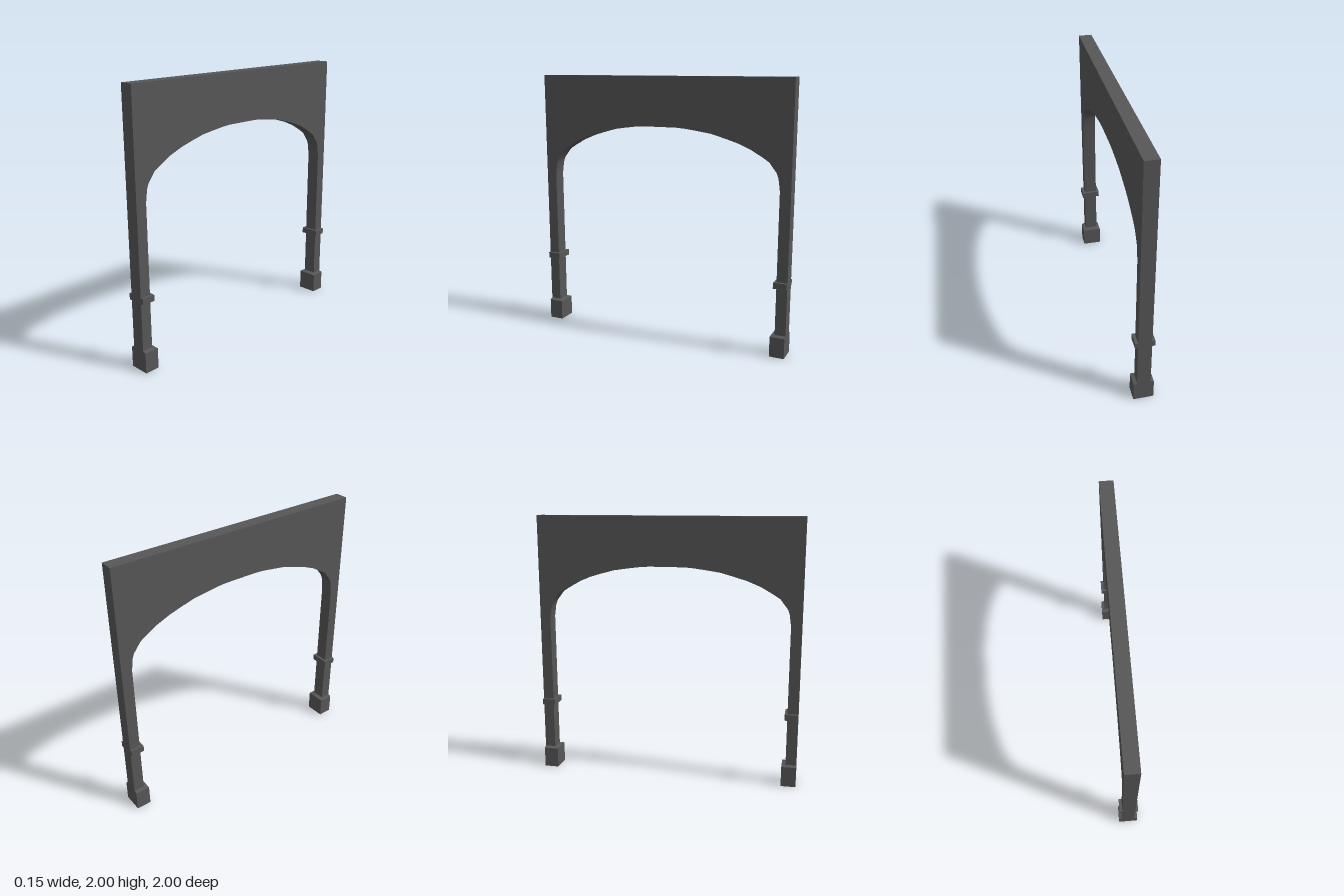
import * as THREE from 'three';
import { toCreasedNormals } from 'three/addons/utils/BufferGeometryUtils.js';

const material = new THREE.MeshStandardMaterial({ color: 0x575757 });

function addPart(parent, name, geometry) {
  const mesh = new THREE.Mesh(toCreasedNormals(geometry, 0.6), material);
  mesh.name = name;
  parent.add(mesh);
  return mesh;
}

// Flat arched wall with its two legs, extruded across the thickness
function archGeometry() {
  // Half of the opening, from the springing of the arch to its crown
  const half = [
    [0.92, 1.22], [0.907, 1.31], [0.894, 1.345], [0.838, 1.418], [0.79, 1.449],
    [0.70, 1.50], [0.60, 1.541], [0.50, 1.571], [0.40, 1.598], [0.30, 1.613],
    [0.20, 1.626], [0.13, 1.631],
  ];
  const outline = [
    [1, 2], [-1, 2], [-1, 0], [-0.92, 0],
    ...half.map(([z, y]) => [-z, y]), ...half.reverse(),
    [0.92, 0], [1, 0],
  ];
  const shape = new THREE.Shape(outline.map(([z, y]) => new THREE.Vector2(z, y)));
  const geometry = new THREE.ExtrudeGeometry(shape, { depth: 0.1, bevelEnabled: false });
  return geometry.translate(0, 0, -0.05).rotateY(Math.PI / 2);
}

// Block foot whose top slopes in to the leg, flush on the outer side
function plinthGeometry(side) {
  const geometry = new THREE.BoxGeometry(0.15, 2, 0.11, 1, 2, 1);
  const p = geometry.attributes.position;
  for (let i = 0; i < p.count; i++) {
    const level = Math.round(p.getY(i)) + 1;
    const isTop = level === 2;
    const isInner = p.getZ(i) * side < 0;
    const inner = isTop ? 0.92 : 0.89;
    p.setXYZ(
      i,
      Math.sign(p.getX(i)) * (isTop ? 0.05 : 0.075),
      [0, 0.153, 0.164][level],
      side * (isInner ? inner : 1),
    );
  }
  return geometry;
}

export function createModel() {
  const group = new THREE.Group();
  group.name = 'archway';
  addPart(group, 'archWall', archGeometry());

  // Foot and raised band on each leg
  for (const [label, side] of [['front', 1], ['back', -1]]) {
    addPart(group, label + 'Plinth', plinthGeometry(side));
    const band = addPart(group, label + 'Band', new THREE.BoxGeometry(0.144, 0.045, 0.1));
    band.position.set(0, 0.541, side * 0.95);
  }
  return group;
}
